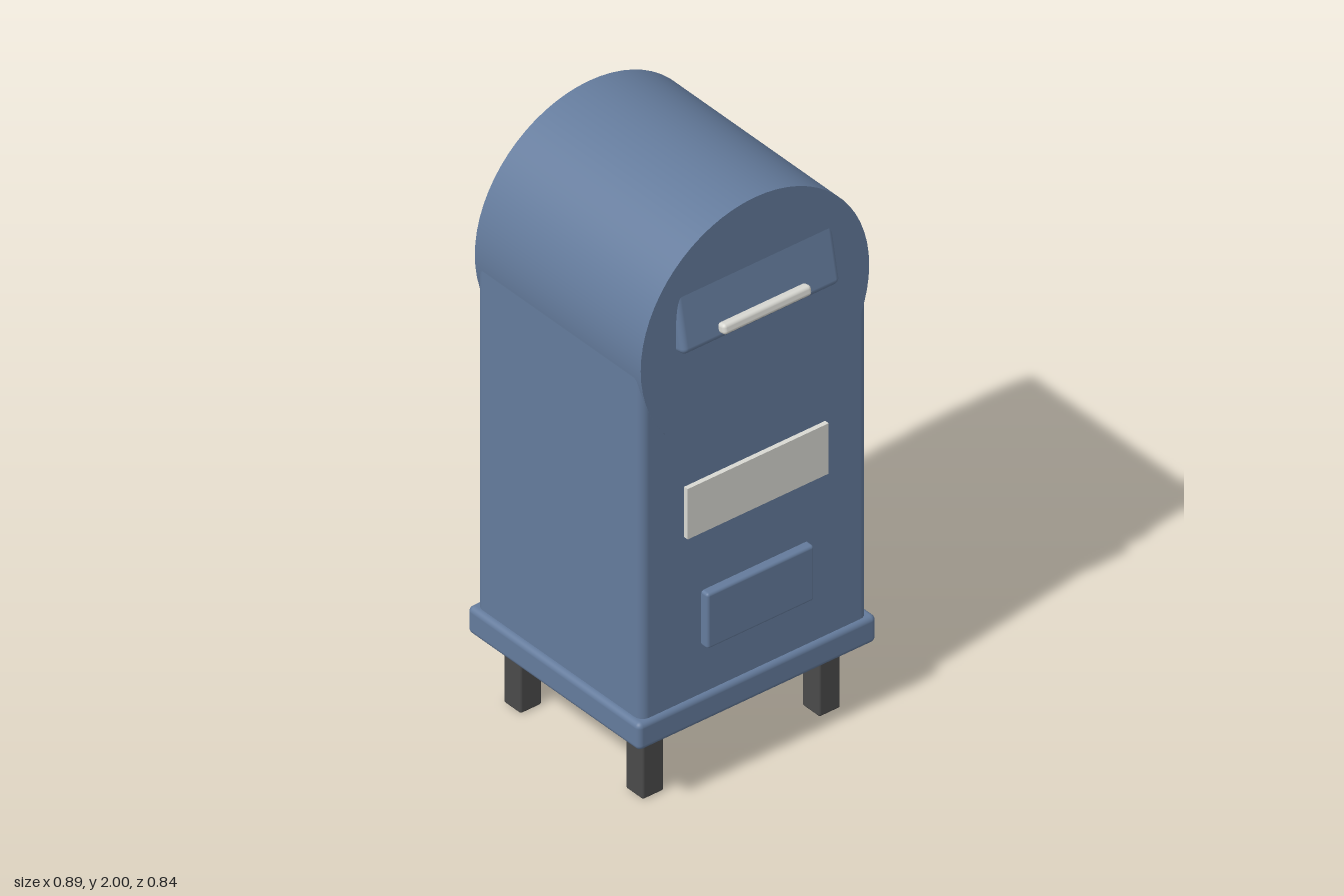
import * as THREE from 'three';
import { RoundedBoxGeometry } from 'three/addons/geometries/RoundedBoxGeometry.js';

const makeMaterial = (name, color) => {
  const material = new THREE.MeshStandardMaterial({ color });
  material.name = name;
  return material;
};

export function createModel() {
  const blue = makeMaterial('blue paint', 0x647b9c);
  const pale = makeMaterial('pale grey', 0xd8d8d2);
  const dark = makeMaterial('dark grey', 0x4a4a4a);

  const model = new THREE.Group();
  model.name = 'mailbox';

  const add = (name, geometry, material, x, y, z, tilt = 0) => {
    const mesh = new THREE.Mesh(geometry, material);
    mesh.name = name;
    mesh.position.set(x, y, z);
    mesh.rotation.x = tilt;
    model.add(mesh);
    return mesh;
  };
  const rounded = (w, h, d, r) => new RoundedBoxGeometry(w, h, d, 4, r);

  const midZ = -0.025;

  // Cabinet with a barrel top
  add('body', rounded(0.85, 1.29, 0.758, 0.03), blue, 0, 0.925, midZ);
  const barrel = new THREE.CylinderGeometry(0.427, 0.427, 0.76, 64).rotateX(Math.PI / 2);
  add('barrelTop', barrel, blue, 0, 1.573, midZ);

  // Base slab and four legs
  add('base', rounded(0.89, 0.095, 0.788, 0.018), blue, 0, 0.2875, midZ);
  for (const x of [-0.33, 0.33]) {
    for (const z of [-0.305, 0.255]) {
      add('leg', rounded(0.08, 0.27, 0.08, 0.008), dark, x, 0.135, z);
    }
  }

  // Tilted letter flap with its pull bar
  const flapTilt = -0.2;
  add('flap', rounded(0.59, 0.24, 0.08, 0.02), blue, 0, 1.695, 0.329, flapTilt);
  add('handle', rounded(0.33, 0.035, 0.035, 0.012), pale, 0, 1.63, 0.4, flapTilt);

  // Front plate and collection door
  add('plate', new THREE.BoxGeometry(0.527, 0.178, 0.03), pale, 0, 1.004, 0.355);
  add('door', rounded(0.4, 0.195, 0.04, 0.01), blue, 0, 0.6, 0.363);

  return model;
}
